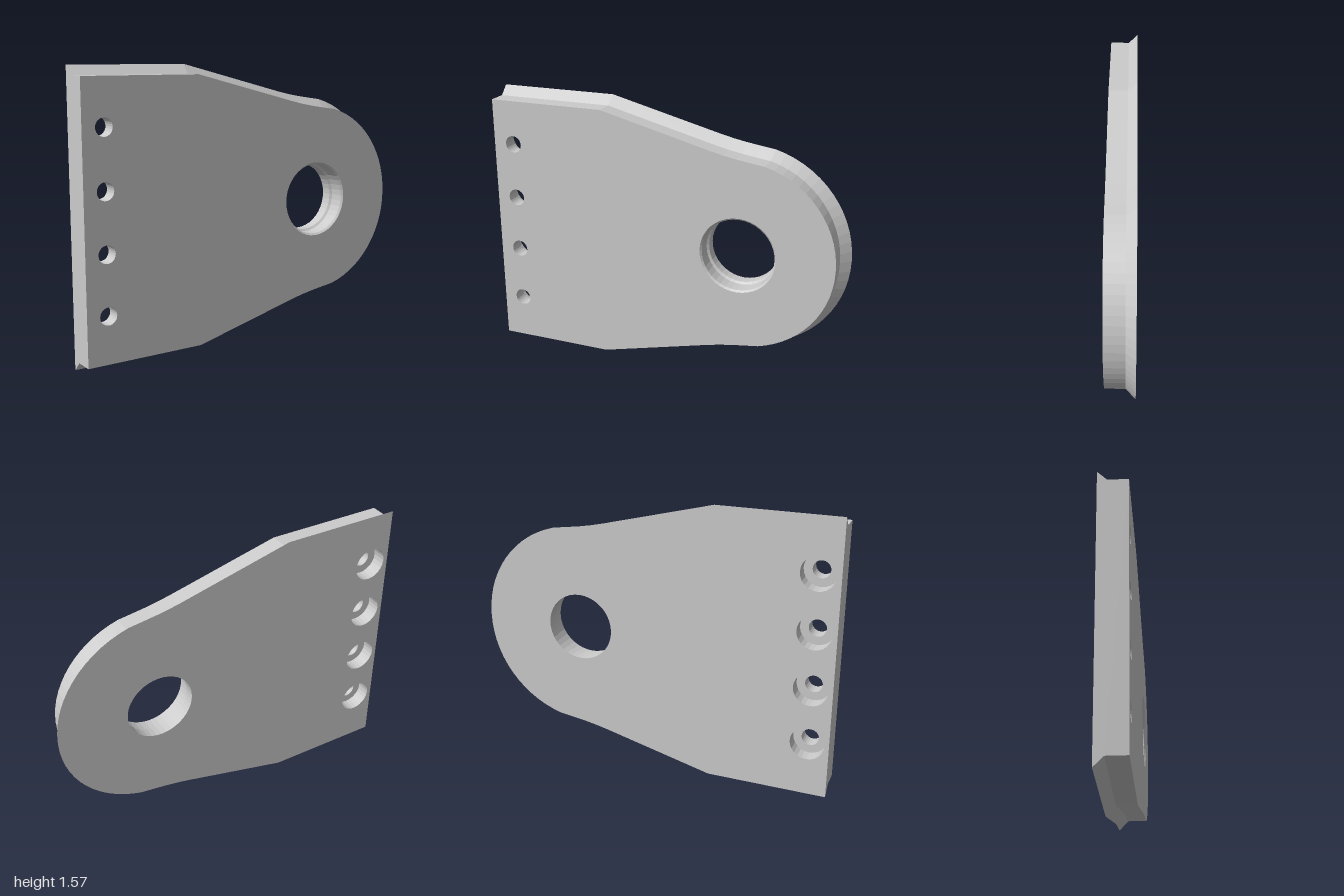
import * as THREE from 'three';

const MID = 0.735;               // height of the symmetry axis
const FACE = 0.08;               // half thickness
const CHAMFER = 0.052;
const BORE = { u: 0.465, y: MID };
const BOLTS = [0.255, 0.575, 0.895, 1.215].map((y) => ({ u: -0.88, y }));

// Side outline, u runs from the straight end (-1) to the rounded end (+1)
function outline() {
  const top = [[-1, 1.465], [-0.33, 1.465], [0.3, 1.305], [0.37, 1.289], [0.44, 1.276], [0.52, 1.264]];
  const r = 0.535, start = 1.315, steps = 14;
  for (let i = 0; i < steps; i++) {
    const a = start * (1 - i / steps);
    top.push([BORE.u + r * Math.cos(a), MID + r * Math.sin(a)]);
  }
  const bottom = top.map(([u, y]) => [u, 2 * MID - y - 0.005]).reverse();
  return [...top, [1, MID], ...bottom].map(([u, y]) => new THREE.Vector2(u, Math.max(0, y)));
}

// Mitred inset that leaves the straight end flush
function inset(pts, d) {
  const normal = (a, b) => new THREE.Vector2(b.y - a.y, a.x - b.x).normalize();
  return pts.map((p, i) => {
    const n0 = i > 0 ? normal(pts[i - 1], p) : normal(p, pts[1]);
    const n1 = i < pts.length - 1 ? normal(p, pts[i + 1]) : n0;
    const m = n0.clone().add(n1).normalize();
    return p.clone().addScaledVector(m, d / m.dot(n0));
  });
}

// Strip of quads between two closed loops at depths z0 > z1
function strip(a, z0, b, z1) {
  const pos = [];
  a.forEach((p, i) => {
    const j = (i + 1) % a.length;
    const A = [p.x, p.y, z0], B = [a[j].x, a[j].y, z0];
    const C = [b[i].x, b[i].y, z1], D = [b[j].x, b[j].y, z1];
    pos.push(...A, ...B, ...C, ...B, ...D, ...C);
  });
  const g = new THREE.BufferGeometry();
  g.setAttribute('position', new THREE.Float32BufferAttribute(pos, 3));
  g.computeVertexNormals();
  return g;
}

function circle({ u, y }, r, n) {
  const pts = [];
  for (let i = 0; i < n; i++) {
    const a = (i / n) * Math.PI * 2;
    pts.push(new THREE.Vector2(u + r * Math.sin(a), y + r * Math.cos(a)));
  }
  return new THREE.Path(pts);
}

// Flat face with the bore and bolt holes cut out
function cap(pts, z, boreR, boltR) {
  const shape = new THREE.Shape(pts);
  shape.holes.push(circle(BORE, boreR, 40));
  BOLTS.forEach((b) => shape.holes.push(circle(b, boltR, 24)));
  return new THREE.ShapeGeometry(shape).translate(0, 0, z);
}

// Inner wall of a hole from [radius, depth] pairs
function holeWall({ u, y }, profile, n) {
  const g = new THREE.LatheGeometry(profile.map(([r, d]) => new THREE.Vector2(r, d)), n);
  return g.rotateX(Math.PI / 2).translate(u, y, 0);
}

export function createModel() {
  const group = new THREE.Group();
  const mat = new THREE.MeshStandardMaterial({ color: 0xcccccc, flatShading: true, side: THREE.DoubleSide });
  const add = (name, geo) => {
    const mesh = new THREE.Mesh(geo, mat);
    mesh.name = name;
    group.add(mesh);
  };

  const outer = outline();
  const inner = inset(outer, -CHAMFER);

  // Plate
  add('plainFace', cap(outer, FACE, 0.215, 0.048));
  const back = cap(inner, -FACE, 0.193, 0.095);
  const idx = back.index.array;
  for (let i = 0; i < idx.length; i += 3) [idx[i], idx[i + 1]] = [idx[i + 1], idx[i]];
  back.computeVertexNormals();
  add('chamferedFace', back);
  add('plateEdge', strip(outer, FACE, outer, -0.028));
  add('edgeChamfer', strip(outer, -0.028, inner, -FACE));

  // Stepped main bore
  add('mainBore', holeWall(BORE,
    [[0.215, FACE], [0.205, 0.07], [0.205, -0.01], [0.193, -0.02], [0.193, -FACE]], 40));

  // Counterbored bolt holes
  BOLTS.forEach((b, i) => add(`boltHole${i + 1}`, holeWall(b,
    [[0.048, FACE], [0.048, 0], [0.095, 0], [0.095, -FACE]], 24)));

  group.rotation.y = Math.PI / 2;
  const model = new THREE.Group();
  model.name = 'mountingPlate';
  group.name = 'plate';
  model.add(group);
  return model;
}
